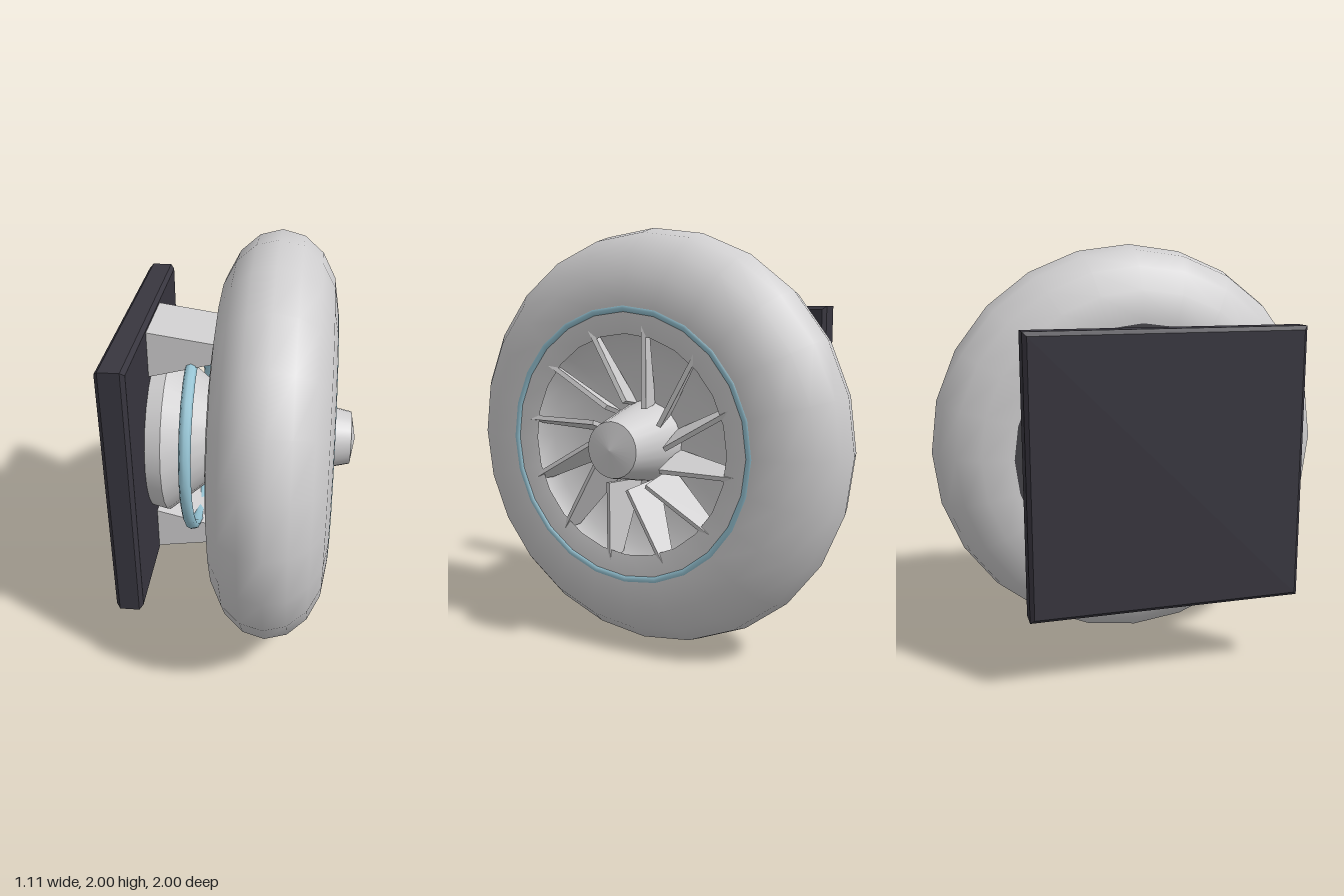
import * as THREE from 'three';

const mat = (name, color) => {
  const m = new THREE.MeshStandardMaterial({ color });
  m.name = name;
  return m;
};

export function createModel() {
  const grey = mat('light grey', 0xcfcecf);
  const dark = mat('dark plate', 0x38363f);
  const charcoal = mat('charcoal', 0x434247);
  const blue = mat('pale blue', 0x96c4d4);

  const model = new THREE.Group();
  model.name = 'wheelUnit';

  const add = (name, geometry, material, parent = model) => {
    const mesh = new THREE.Mesh(geometry, material);
    mesh.name = name;
    parent.add(mesh);
    return mesh;
  };

  // Everything round turns about the x axis at wheel height
  const axle = new THREE.Group();
  axle.name = 'axleParts';
  axle.position.y = 1;
  model.add(axle);

  // Profile points are [radius, x], lathed about the axle
  const turned = (name, points, material) => {
    const g = new THREE.LatheGeometry(points.map(([r, x]) => new THREE.Vector2(r, x)), 24);
    g.rotateZ(-Math.PI / 2);
    return add(name, g, material, axle);
  };
  const ring = (name, radius, tube, x) => {
    const g = new THREE.TorusGeometry(radius, tube, 8, 24);
    g.rotateY(Math.PI / 2);
    add(name, g, blue, axle).position.x = x;
  };

  // Tyre: elliptical section, rolling from the back edge round to the front
  const section = [];
  for (let i = -1; i <= 9; i++) {
    const a = (i * Math.PI) / 8;
    section.push([0.65 + 0.35 * Math.sin(a), 0.16 - 0.275 * Math.cos(a)]);
  }
  turned('tyre', section, grey);

  // Dished wheel face, accent ring and dark back cover
  turned('wheelDish', [[0.62, 0.43], [0.58, 0.36], [0.5, 0.3], [0.37, 0.26], [0.2, 0.24], [0, 0.24]], grey);
  ring('frontRing', 0.632, 0.023, 0.415);
  turned('backCover', [[0, -0.113], [0.63, -0.113]], charcoal);

  // Tapered hub with a shallow pointed cap
  turned('hub', [[0.197, 0.23], [0.13, 0.53]], grey);
  turned('hubCap', [[0.13, 0.53], [0, 0.553]], grey);

  // Twelve pitched blades whose back edges follow the dish
  const bladeShape = new THREE.Shape([
    new THREE.Vector2(0, 0.18), new THREE.Vector2(0, 0.56),
    new THREE.Vector2(-0.08, 0.525), new THREE.Vector2(-0.2, 0.18),
  ]);
  const bladeGeometry = new THREE.ExtrudeGeometry(bladeShape, { depth: 0.022, bevelEnabled: false });
  bladeGeometry.rotateY(0.33);
  bladeGeometry.translate(0.415, 0, -0.11);
  for (let i = 0; i < 12; i++) {
    add('blade', bladeGeometry, grey, axle).rotation.x = (i * Math.PI) / 6;
  }

  // Tapered housing between wheel and mounting plate, with its ring
  turned('housingBase', [[0.385, -0.44], [0.405, -0.355]], grey);
  turned('housingCone', [[0.405, -0.355], [0.21, -0.11]], grey);
  ring('rearRing', 0.47, 0.029, -0.23);

  // Upper and lower brackets
  for (const side of [1, -1]) {
    const shape = new THREE.Shape(
      [[-0.435, 0.61], [-0.1, 0.56], [-0.1, 0.47], [-0.435, 0.385]]
        .map(([x, y]) => new THREE.Vector2(x, 1 + side * y)));
    const g = new THREE.ExtrudeGeometry(shape, { depth: 0.355, bevelEnabled: false });
    g.translate(0, 0, -0.1775);
    add(side > 0 ? 'upperBracket' : 'lowerBracket', g, grey);
  }

  // Square mounting plate with chamfered edges
  const h = 0.62, bevel = 0.018;
  const square = new THREE.Shape([[-h, -h], [h, -h], [h, h], [-h, h]].map(([x, y]) => new THREE.Vector2(x, y)));
  const plate = new THREE.ExtrudeGeometry(square, {
    depth: 0.13 - 2 * bevel, bevelThickness: bevel, bevelSize: bevel, bevelSegments: 1,
  });
  plate.rotateY(Math.PI / 2);
  plate.translate(-0.56 + bevel, 1, 0);
  add('mountingPlate', plate, dark);

  return model;
}
